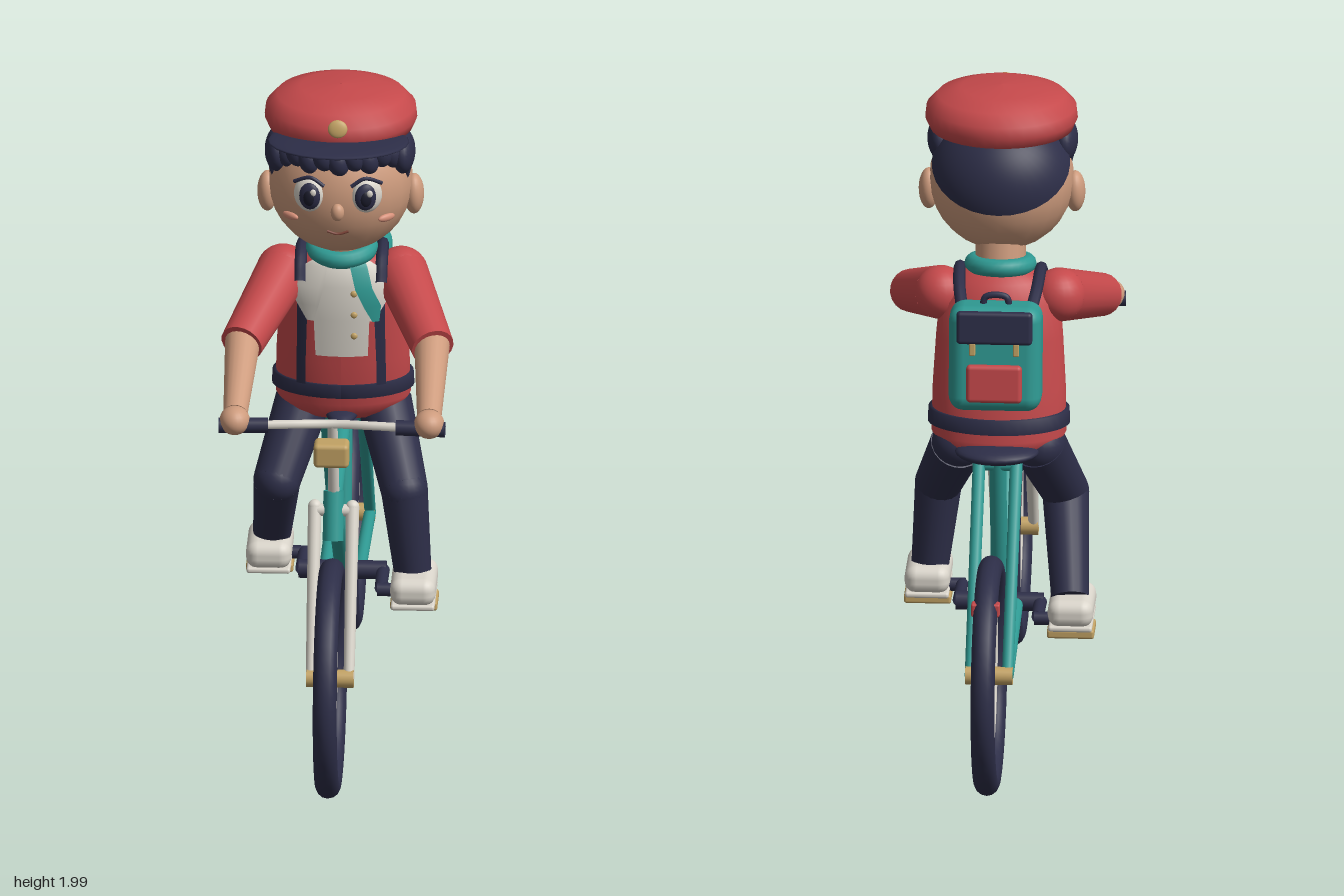
import * as THREE from 'three';
import { RoundedBoxGeometry } from 'three/addons/geometries/RoundedBoxGeometry.js';

const paint = (name, color, side = THREE.FrontSide) => {
  const m = new THREE.MeshStandardMaterial({ color, side });
  m.name = name;
  return m;
};
const V = (x, y, z) => new THREE.Vector3(x, y, z);

export function createModel() {
  const red = paint('red cloth', 0xc5494b, THREE.DoubleSide);
  const navy = paint('navy', 0x2d2e48, THREE.DoubleSide);
  const teal = paint('teal', 0x2f9a93, THREE.DoubleSide);
  const skin = paint('skin', 0xcd9b7d);
  const white = paint('off white', 0xdad5cb, THREE.DoubleSide);
  const gold = paint('gold', 0xc2a264);
  const brown = paint('mouth brown', 0x7d4438);
  const blush = paint('blush', 0xd58f78);
  const metal = paint('spoke grey', 0x9a9894);
  const black = paint('pupil', 0x1b1c2c);

  const model = new THREE.Group();
  const bike = new THREE.Group();
  const rider = new THREE.Group();
  bike.name = 'bicycle';
  rider.name = 'rider';
  model.add(bike, rider);

  const add = (parent, name, geo, mat, p = [0, 0, 0], r = [0, 0, 0]) => {
    const m = new THREE.Mesh(geo, mat);
    m.name = name;
    m.position.set(...p);
    m.rotation.set(...r);
    parent.add(m);
    return m;
  };
  // Tapered rod between two points
  const rod = (parent, name, a, b, r0, r1, mat, sides = 16) => {
    const A = V(...a), d = V(...b).sub(A);
    const m = add(parent, name, new THREE.CylinderGeometry(r1, r0, d.length(), sides), mat);
    m.position.copy(A).addScaledVector(d, 0.5);
    m.quaternion.setFromUnitVectors(V(0, 1, 0), d.clone().normalize());
    return m;
  };
  const ball = (parent, name, p, r, mat, rot) => {
    const m = add(parent, name, new THREE.SphereGeometry(1, 24, 16), mat, p, rot);
    m.scale.set(...r);
    return m;
  };
  const box = (parent, name, size, p, mat, rad = 0.01, rot) =>
    add(parent, name, new RoundedBoxGeometry(...size, 3, rad), mat, p, rot);
  const tube = (parent, name, pts, r, mat) =>
    add(parent, name, new THREE.TubeGeometry(new THREE.CatmullRomCurve3(pts.map(p => V(...p))), 20, r, 8), mat);

  // Wheels
  for (const [name, z] of [['frontWheel', 0.632], ['rearWheel', -0.632]]) {
    const wheel = new THREE.Group();
    wheel.name = name;
    wheel.position.set(0, 0.362, z);
    wheel.rotation.y = Math.PI / 2;
    bike.add(wheel);
    add(wheel, 'tyre', new THREE.TorusGeometry(0.32, 0.036, 14, 56), navy);
    add(wheel, 'rim', new THREE.TorusGeometry(0.285, 0.009, 8, 56), white);
    for (let i = 0; i < 5; i++)
      add(wheel, 'spokePair', new THREE.CylinderGeometry(0.004, 0.004, 0.57, 6), metal, [0, 0, 0], [0, 0, i * Math.PI / 5]);
    add(wheel, 'hub', new THREE.CylinderGeometry(0.027, 0.027, 0.14, 16), gold, [0, 0, 0], [Math.PI / 2, 0, 0]);
  }
  box(bike, 'rearReflector', [0.085, 0.04, 0.035], [0, 0.635, -0.8], red, 0.006);

  // Frame
  const head = [0, 0.845, 0.415], seatTop = [0, 0.88, -0.2], crank = [0, 0.4, -0.105];
  rod(bike, 'topTube', head, seatTop, 0.025, 0.025, teal);
  rod(bike, 'downTube', head, crank, 0.023, 0.023, teal);
  rod(bike, 'seatTube', crank, [0, 0.92, -0.215], 0.025, 0.025, teal);
  rod(bike, 'headTube', [0, 0.73, 0.455], [0, 0.87, 0.408], 0.031, 0.031, teal);
  for (const s of [-1, 1]) {
    rod(bike, 'chainStay', [s * 0.05, 0.4, -0.105], [s * 0.055, 0.362, -0.632], 0.02, 0.018, teal);
    rod(bike, 'seatStay', [s * 0.055, 0.875, -0.21], [s * 0.055, 0.362, -0.632], 0.019, 0.017, teal);
    rod(bike, 'forkLeg', [s * 0.056, 0.825, 0.42], [s * 0.056, 0.362, 0.632], 0.02, 0.016, white);
    ball(bike, 'forkShoulder', [s * 0.056, 0.825, 0.42], [0.02, 0.02, 0.02], white);
  }
  rod(bike, 'forkCrown', [-0.056, 0.815, 0.425], [0.056, 0.815, 0.425], 0.018, 0.018, white);
  rod(bike, 'stayBridge', [-0.055, 0.87, -0.21], [0.055, 0.87, -0.21], 0.018, 0.018, teal);

  // Steering, lamp and saddle
  rod(bike, 'stem', [0, 0.85, 0.413], [0, 1.12, 0.49], 0.017, 0.015, white);
  tube(bike, 'handlebar', [[-0.25, 1.125, 0.525], [-0.12, 1.125, 0.512], [0, 1.12, 0.492], [0.12, 1.125, 0.512], [0.25, 1.125, 0.525]], 0.014, white);
  box(bike, 'headlamp', [0.105, 0.075, 0.07], [0, 1.047, 0.54], gold, 0.014);
  rod(bike, 'lampBracket', [0, 1.06, 0.475], [0, 1.05, 0.53], 0.01, 0.01, white);
  ball(bike, 'saddle', [0, 0.925, -0.24], [0.125, 0.03, 0.1], navy);
  ball(bike, 'saddleNose', [0, 0.92, -0.13], [0.055, 0.027, 0.15], navy);

  // Cranks and pedals, left side forward
  rod(bike, 'crankAxle', [-0.13, 0.4, -0.105], [0.13, 0.4, -0.105], 0.028, 0.028, navy);
  for (const s of [-1, 1]) {
    const z = s > 0 ? 0.035 : -0.235;
    rod(bike, 'grip', [s * 0.19, 1.125, 0.522], [s * 0.335, 1.125, 0.53], 0.023, 0.023, navy);
    rod(bike, 'crankArm', [s * 0.12, 0.4, -0.105], [s * 0.12, 0.4, z], 0.02, 0.018, navy);
    rod(bike, 'pedalSpindle', [s * 0.11, 0.397, z], [s * 0.22, 0.397, z], 0.02, 0.02, navy);
    box(bike, 'pedal', [0.14, 0.028, 0.11], [s * 0.22, 0.367, z], gold, 0.008);
  }

  // Torso: oval lathe leaning forward
  const profile = [[0.9, 0.14], [0.925, 0.18], [0.96, 0.2], [1.1, 0.197], [1.25, 0.188], [1.36, 0.178], [1.42, 0.135], [1.455, 0.08]];
  const lean = y => -0.155 + 0.14 * (y - 0.92);
  const radius = y => {
    let i = 1;
    while (i < profile.length - 1 && profile[i][0] < y) i++;
    const [[y0, r0], [y1, r1]] = [profile[i - 1], profile[i]];
    return r0 + (r1 - r0) * (y - y0) / (y1 - y0);
  };
  const bodyLathe = pts => {
    const g = new THREE.LatheGeometry(pts.map(([y, r]) => new THREE.Vector2(r, y)), 40);
    const p = g.attributes.position;
    for (let i = 0; i < p.count; i++) p.setZ(i, p.getZ(i) * 0.64 + lean(p.getY(i)));
    g.computeVertexNormals();
    return g;
  };
  add(rider, 'jacket', bodyLathe([[0.9, 0.001], ...profile, [1.46, 0.001]]), red);
  add(rider, 'belt', bodyLathe([[0.985, 0.198], [0.987, 0.211], [1.03, 0.209], [1.032, 0.195]]), navy);

  // Curved strips on the chest; rows are [y, x from, x to]
  const chestZ = (x, y) => lean(y) + 0.64 * radius(y) * Math.sqrt(Math.max(0, 1 - (x / radius(y)) ** 2));
  const patch = (name, rows, offset, mat, flip = 1) => {
    const n = 8, pos = [], idx = [];
    rows.forEach(([y, a, b], j) => {
      for (let i = 0; i <= n; i++) {
        const x = a + (b - a) * i / n;
        pos.push(x * flip, y, chestZ(x, y) + offset);
        if (j && i) {
          const k = j * (n + 1) + i, u = k - n - 1;
          idx.push(...(flip > 0 ? [u - 1, k - 1, k, u - 1, k, u] : [u - 1, k, k - 1, u - 1, u, k]));
        }
      }
    });
    const g = new THREE.BufferGeometry();
    g.setAttribute('position', new THREE.Float32BufferAttribute(pos, 3));
    g.setIndex(idx);
    g.computeVertexNormals();
    add(rider, name, g, mat);
  };
  patch('shirtFront', [[1.44, -0.07, 0.07], [1.42, -0.08, 0.08], [1.36, -0.085, 0.085], [1.25, -0.08, 0.085], [1.13, -0.075, 0.08]], 0.008, white);
  for (const s of [-1, 1]) {
    patch('lapel', [[1.435, 0.04, 0.08], [1.42, 0.04, 0.105], [1.36, 0.05, 0.165], [1.3, 0.065, 0.13], [1.25, 0.08, 0.1]], 0.02, white, s);
    patch('chestStrap', [[1.4, 0.1, 0.13], [1.36, 0.1, 0.13], [1.25, 0.1, 0.13], [1.1, 0.105, 0.132], [1.03, 0.105, 0.132]], 0.014, navy, s);
    tube(rider, 'shoulderStrap', [[s * 0.12, 1.37, 0.01], [s * 0.12, 1.425, -0.03], [s * 0.12, 1.445, -0.09], [s * 0.115, 1.42, -0.18], [s * 0.1, 1.37, -0.27]], 0.018, navy);
  }
  patch('scarfTail', [[1.43, 0.025, 0.075], [1.42, 0.03, 0.08], [1.36, 0.045, 0.095], [1.3, 0.07, 0.12], [1.25, 0.095, 0.115]], 0.027, teal);
  for (const y of [1.34, 1.27, 1.2])
    ball(rider, 'button', [0.04, y, chestZ(0.04, y) + 0.01], [0.01, 0.01, 0.006], gold);
  add(rider, 'scarf', new THREE.TorusGeometry(0.08, 0.027, 12, 32), teal, [0, 1.455, -0.068], [Math.PI / 2 + 0.15, 0, 0]);
  rod(rider, 'neck', [0, 1.42, -0.075], [0, 1.54, -0.05], 0.075, 0.075, skin);

  // Arms, legs and shoes
  for (const s of [-1, 1]) {
    const shoulder = [s * 0.175, 1.365, -0.085], cuff = [s * 0.283, 1.255, 0.215], wrist = [s * 0.287, 1.15, 0.5];
    ball(rider, 'shoulder', shoulder, [0.08, 0.08, 0.08], red);
    rod(rider, 'sleeve', shoulder, cuff, 0.08, 0.064, red, 20);
    rod(rider, 'forearm', [s * 0.28, 1.26, 0.19], wrist, 0.053, 0.036, skin, 20);
    ball(rider, 'hand', [s * 0.288, 1.14, 0.525], [0.045, 0.043, 0.05], skin);

    const zFoot = s > 0 ? 0.055 : -0.205;
    const hip = [s * 0.12, 0.92, -0.165], knee = [s * 0.19, 0.72, s > 0 ? 0.035 : -0.02];
    ball(rider, 'hip', hip, [0.08, 0.075, 0.08], navy);
    rod(rider, 'thigh', hip, knee, 0.082, 0.07, navy, 20);
    ball(rider, 'knee', knee, [0.07, 0.07, 0.07], navy);
    rod(rider, 'shin', knee, [s * 0.215, 0.46, zFoot - 0.015], 0.07, 0.056, navy, 20);
    box(rider, 'shoe', [0.135, 0.085, 0.22], [s * 0.22, 0.433, zFoot], white, 0.036);
    box(rider, 'sole', [0.13, 0.018, 0.21], [s * 0.22, 0.39, zFoot], white, 0.008);
  }

  // Backpack
  const pack = new THREE.Group();
  pack.name = 'backpack';
  pack.position.set(0, 1.25, -0.302);
  pack.rotation.x = 0.09;
  rider.add(pack);
  box(pack, 'packBody', [0.275, 0.32, 0.145], [0, 0, 0], teal, 0.045);
  box(pack, 'packFlap', [0.225, 0.1, 0.028], [0, 0.105, -0.078], navy, 0.012);
  box(pack, 'packPocket', [0.165, 0.115, 0.03], [0, -0.065, -0.082], red, 0.013);
  for (const s of [-1, 1]) box(pack, 'buckle', [0.018, 0.04, 0.012], [s * 0.065, 0.04, -0.082], gold, 0.004);
  tube(pack, 'carryHandle', [[-0.04, 0.15, 0], [-0.03, 0.18, 0], [0.03, 0.18, 0], [0.04, 0.15, 0]], 0.01, navy);

  // Head and face
  ball(rider, 'head', [0, 1.7, 0], [0.215, 0.217, 0.195], skin);
  ball(rider, 'nose', [0, 1.675, 0.198], [0.02, 0.027, 0.02], skin);
  tube(rider, 'mouth', [[-0.032, 1.606, 0.177], [0, 1.597, 0.177], [0.032, 1.606, 0.177]], 0.004, brown);
  for (const s of [-1, 1]) {
    ball(rider, 'ear', [s * 0.217, 1.66, 0.005], [0.03, 0.063, 0.042], skin);
    ball(rider, 'eyeWhite', [s * 0.086, 1.722, 0.172], [0.046, 0.055, 0.026], white, [0, s * 0.3, 0]);
    ball(rider, 'iris', [s * 0.084, 1.722, 0.186], [0.034, 0.043, 0.018], navy, [0, s * 0.3, 0]);
    ball(rider, 'pupil', [s * 0.084, 1.72, 0.194], [0.02, 0.028, 0.014], black, [0, s * 0.3, 0]);
    ball(rider, 'eyeGlint', [s * 0.084 + 0.012, 1.738, 0.203], [0.009, 0.011, 0.005], white);
    ball(rider, 'cheek', [s * 0.142, 1.636, 0.136], [0.03, 0.012, 0.01], blush, [0, s * 0.7, 0]);
    tube(rider, 'eyelash', [[s * 0.04, 1.755, 0.19], [s * 0.08, 1.779, 0.184], [s * 0.13, 1.758, 0.163]], 0.006, navy);
    ball(rider, 'sideHair', [s * 0.185, 1.81, 0.04], [0.038, 0.065, 0.08], navy);
    add(rider, 'sideburn', new THREE.ConeGeometry(0.038, 0.12, 10), navy, [s * 0.198, 1.745, 0.045], [Math.PI, 0, s * 0.1]).scale.x = 0.5;
  }

  // Hair: tilted shell with a row of curls in front
  const hair = add(rider, 'hair', new THREE.SphereGeometry(1, 32, 16, 0, Math.PI * 2, 0, 1.18), navy, [0, 1.7, 0], [-0.64, 0, 0]);
  hair.scale.set(0.222, 0.212, 0.204);
  for (let i = -5; i <= 5; i++) {
    const a = i * 0.24;
    ball(rider, 'curl', [0.19 * Math.sin(a), 1.826 + (i % 2 ? 0.008 : -0.006), 0.165 * Math.cos(a)], [0.032, 0.042, 0.03], navy, [0, a, 0.3]);
  }

  // Cap
  const crown = [[0.18, 1.862], [0.212, 1.868], [0.226, 1.9], [0.222, 1.935], [0.19, 1.97], [0.12, 1.993], [0.001, 2]];
  add(rider, 'cap', new THREE.LatheGeometry(crown.map(p => new THREE.Vector2(...p)), 36), red, [0, 0, -0.015]).scale.z = 0.92;
  ball(rider, 'visor', [0, 1.878, 0.135], [0.21, 0.016, 0.165], navy, [-0.06, 0, 0]);
  ball(rider, 'capBadge', [0, 1.938, 0.187], [0.029, 0.027, 0.01], gold, [-0.3, 0, 0]);
  return model;
}
